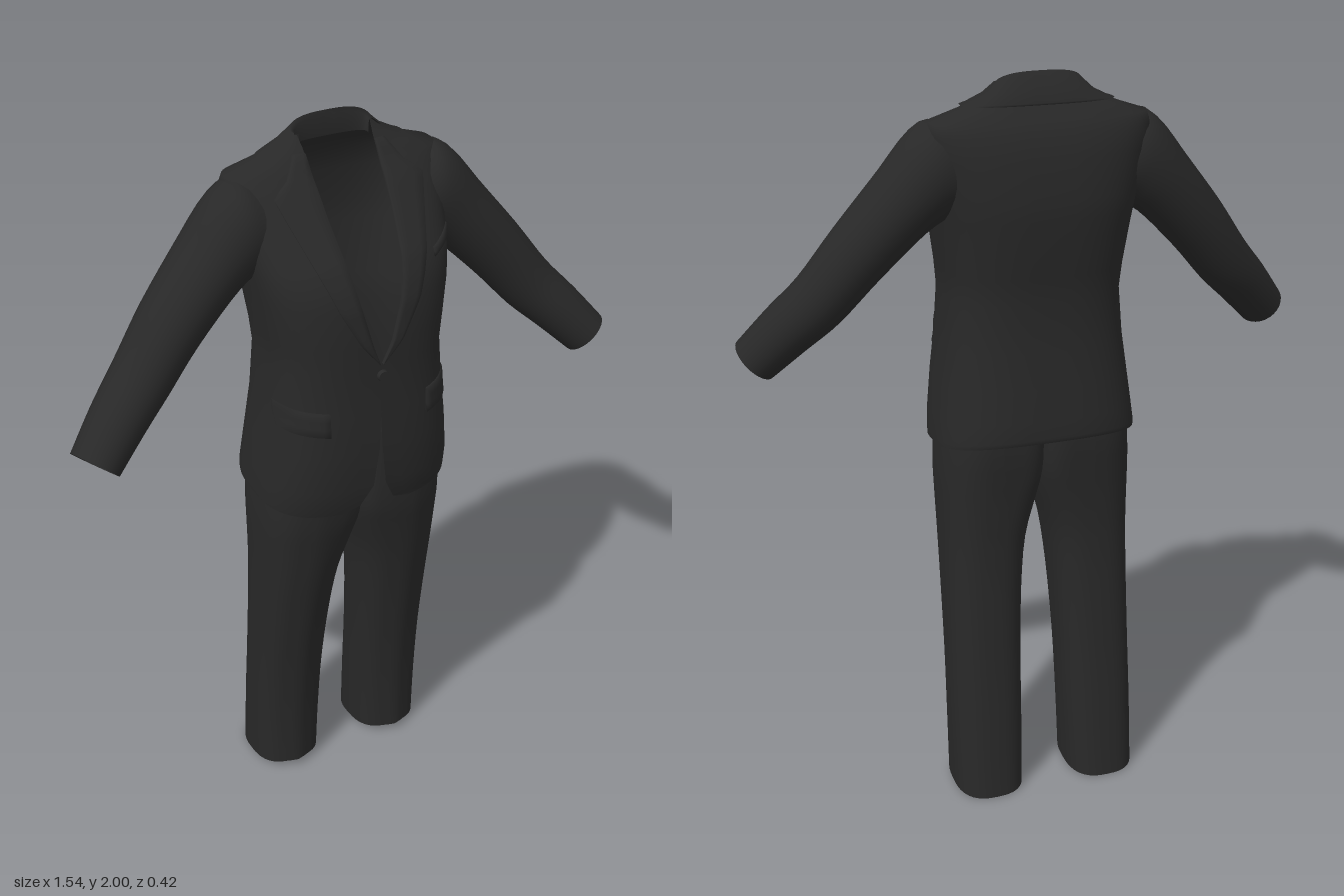
import * as THREE from 'three';

const cloth = new THREE.MeshStandardMaterial({ color: 0x282828, side: THREE.DoubleSide });
cloth.name = 'charcoal cloth';

const lerp = THREE.MathUtils.lerp;
const spow = (v, p) => Math.sign(v) * Math.pow(Math.abs(v), p);

// Smooth surface through rows of points
function loft(name, rows) {
  const n = rows[0].length, index = [];
  for (let i = 0; i < rows.length - 1; i++) {
    for (let j = 0; j < n - 1; j++) {
      const a = i * n + j, b = a + n;
      index.push(a, a + 1, b, a + 1, b + 1, b);
    }
  }
  const g = new THREE.BufferGeometry();
  g.setAttribute('position', new THREE.Float32BufferAttribute(rows.flat(2), 3));
  g.setIndex(index);
  g.computeVertexNormals();
  const mesh = new THREE.Mesh(g, cloth);
  mesh.name = name;
  return mesh;
}

// Catmull-Rom subdivision of a table of sections
function refine(table, steps) {
  const out = [], last = table.length - 1;
  for (let i = 0; i < last; i++) {
    const p = [Math.max(i - 1, 0), i, i + 1, Math.min(i + 2, last)].map(k => table[k]);
    for (let s = 0; s < steps; s++) {
      const t = s / steps;
      out.push(p[1].map((v, k) => {
        const m0 = (p[2][k] - p[0][k]) / 2, m1 = (p[3][k] - v) / 2, d = p[2][k] - v;
        return v + m0 * t + (3 * d - 2 * m0 - m1) * t * t + (m0 + m1 - 2 * d) * t * t * t;
      }));
    }
  }
  return [...out, table[last]];
}

// Value of a column at height y, linear between rows
function sample(table, y, k) {
  let i = 0;
  while (i < table.length - 2 && table[i + 1][0] < y) i++;
  const [a, b] = [table[i], table[i + 1]];
  return lerp(a[k], b[k], THREE.MathUtils.clamp((y - a[0]) / (b[0] - a[0]), 0, 1));
}

// Jacket levels: height, half width, front z, back z, half width of the front opening
const P = 0.7;
const BODY = [
  [1.03, 0.275, 0.185, -0.2, 0.1], [1.045, 0.275, 0.19, -0.205, 0.05],
  [1.1, 0.27, 0.205, -0.2, 0.018], [1.2, 0.258, 0.21, -0.19, 0.004],
  [1.3, 0.245, 0.205, -0.178, 0], [1.43, 0.235, 0.2, -0.17, 0],
  [1.5, 0.24, 0.207, -0.183, 0.028], [1.6, 0.255, 0.2, -0.193, 0.055],
  [1.65, 0.262, 0.186, -0.198, 0.066], [1.7, 0.27, 0.163, -0.2, 0.075],
  [1.8, 0.285, 0.087, -0.19, 0.088], [1.86, 0.294, 0.042, -0.172, 0.092],
  [1.89, 0.285, 0.015, -0.153, 0.094], [1.915, 0.21, 0, -0.133, 0.095],
  [1.945, 0.14, -0.02, -0.11, 0.096], [1.97, 0.105, -0.035, -0.085, 0.1],
];

function bodyRow([y, hw, zf, zb, w], a0, n = 56) {
  const mid = (zf + zb) / 2, half = (zf - zb) / 2;
  const start = Math.max(a0, Math.asin(Math.pow(w / hw, 1 / P)));
  const hem = Math.max(0, 1 - (y - 1.03) / 0.2) * 0.03;
  const neck = Math.max(0, (y - 1.94) / 0.03) * 0.022;
  const row = [];
  for (let j = 0; j <= n; j++) {
    const a = lerp(start, 2 * Math.PI - start, j / n), c = Math.cos(a);
    row.push([hw * spow(Math.sin(a), P), y - hem * c + neck * Math.max(0, -c),
      mid + half * spow(c, P)]);
  }
  return row;
}

// Depth of the jacket front at a point
function frontZ(x, y) {
  const hw = sample(BODY, y, 1), zf = sample(BODY, y, 2), zb = sample(BODY, y, 3);
  const u = Math.min(Math.abs(x) / hw, 0.99);
  return (zf + zb) / 2 + (zf - zb) / 2 * Math.pow(1 - Math.pow(u, 2 / P), P / 2);
}

// Thin raised piece lying on the jacket front; at(u, v) gives x and y
function patch(name, at, nu, nv, lift) {
  const params = n => [0, ...Array.from({ length: n + 1 }, (_, i) => i / n), 1];
  const us = params(nu), vs = params(nv);
  return loft(name, vs.map((v, i) => us.map((u, j) => {
    const [x, y] = at(u, v);
    const edge = i === 0 || j === 0 || i === vs.length - 1 || j === us.length - 1;
    return [x, y, frontZ(x, y) + (edge ? -0.002 : lift)];
  })));
}

// Outer lapel edge: height, x
const LAPEL = [[1.44, 0.005], [1.5, 0.055], [1.6, 0.11], [1.7, 0.15], [1.8, 0.185],
  [1.86, 0.205], [1.877, 0.165], [1.935, 0.125]];

// Sleeve sections: centre x, y, z, half height, half depth, tilt in degrees
const SLEEVE = [
  [0.22, 1.765, -0.045, 0.11, 0.1, 88], [0.27, 1.765, -0.045, 0.125, 0.107, 78],
  [0.345, 1.695, -0.04, 0.098, 0.103, 54], [0.465, 1.565, -0.022, 0.086, 0.093, 49],
  [0.56, 1.45, 0.002, 0.078, 0.084, 46], [0.64, 1.37, 0.035, 0.072, 0.078, 43],
  [0.72, 1.285, 0.072, 0.064, 0.07, 42],
];

function sleeve(name, side) {
  const secs = refine(SLEEVE, 4), n = 28;
  const centre = s => new THREE.Vector3(s[0], s[1], s[2]);
  return loft(name, secs.map((s, i) => {
    const t = centre(secs[Math.min(i + 1, secs.length - 1)]).sub(centre(secs[Math.max(i - 1, 0)]));
    const tilt = s[5] * Math.PI / 180;
    const up = new THREE.Vector3(Math.cos(tilt), Math.sin(tilt), 0);
    const across = t.cross(up).normalize();
    return Array.from({ length: n + 1 }, (_, j) => {
      const a = -side * j / n * Math.PI * 2;
      const p = centre(s).addScaledVector(up, -s[3] * Math.cos(a))
        .addScaledVector(across, s[4] * Math.sin(a));
      return [p.x * side, p.y, p.z];
    });
  }));
}

// Leg sections: height, inner x, outer x, front z, back z, inner squareness
const LEG = [
  [0, 0.07, 0.265, 0.02, -0.21, 0.75], [0.2, 0.065, 0.265, 0.026, -0.19, 0.75],
  [0.4, 0.06, 0.263, 0.046, -0.17, 0.75], [0.6, 0.05, 0.262, 0.08, -0.155, 0.75],
  [0.75, 0.035, 0.262, 0.11, -0.15, 0.72], [0.87, 0.008, 0.264, 0.133, -0.156, 0.6],
  [0.95, -0.003, 0.264, 0.147, -0.163, 0.45], [1.05, -0.003, 0.257, 0.154, -0.17, 0.4],
  [1.2, -0.003, 0.24, 0.155, -0.16, 0.4],
];

function leg(name, side) {
  const n = 48;
  return loft(name, refine(LEG, 3).map(([y, xi, xo, zf, zb, pin]) => {
    const cx = (xi + xo) / 2, hx = (xo - xi) / 2, mid = (zf + zb) / 2, hz = (zf - zb) / 2;
    return Array.from({ length: n + 1 }, (_, j) => {
      const a = (j / n * 2 - 1) * Math.PI * side, s = Math.sin(a), c = Math.cos(a);
      const p = s < 0 ? pin : 0.75;
      const crease = 0.009 * Math.exp(-((a / 0.14) ** 2));
      const z = mid + hz * spow(c, p) + crease;
      const hem = Math.max(0, 1 - y / 0.2) * (z + 0.21) * 0.1;
      return [(cx + hx * spow(s, p)) * side, y + hem, z];
    });
  }));
}

export function createModel() {
  const suit = new THREE.Group();
  suit.name = 'suit';

  // Jacket body and folded collar
  suit.add(loft('jacketBody', BODY.map(r => bodyRow(r, 0))));
  const collar = [[1.925, 0.2, 0.005, -0.128, 0], [1.93, 0.185, 0.002, -0.131, 0],
    [1.95, 0.143, -0.012, -0.116, 0], [1.976, 0.11, -0.03, -0.088, 0],
    [1.972, 0.1, -0.035, -0.075, 0], [1.94, 0.097, -0.03, -0.08, 0]];
  suit.add(loft('collar', collar.map(r => bodyRow(r, 1.25))));

  for (const [label, side] of [['left', 1], ['right', -1]]) {
    suit.add(sleeve(label + 'Sleeve', side), leg(label + 'TrouserLeg', side));

    // Peaked lapel
    suit.add(patch(label + 'Lapel', (u, v) => {
      const y = lerp(1.44, 1.935, v);
      return [side * lerp(sample(BODY, y, 4), sample(LAPEL, y, 1), u), y];
    }, 4, 30, 0.008));

    // Hip pocket flap
    suit.add(patch(label + 'PocketFlap', (u, v) =>
      [side * lerp(0.14, 0.242, u), lerp(1.26, 1.325, v) + u * 0.012], 6, 3, 0.009));
  }

  // Breast pocket welt on the left chest
  suit.add(patch('breastPocket', (u, v) =>
    [lerp(0.175, 0.25, u), lerp(1.675, 1.695, v) + u * 0.025], 5, 2, 0.006));

  // Single front button
  const button = new THREE.Mesh(new THREE.CylinderGeometry(0.014, 0.016, 0.012, 20), cloth);
  button.name = 'frontButton';
  button.rotation.x = Math.PI / 2;
  button.position.set(0.005, 1.405, frontZ(0, 1.405) + 0.004);
  suit.add(button);

  return suit;
}
